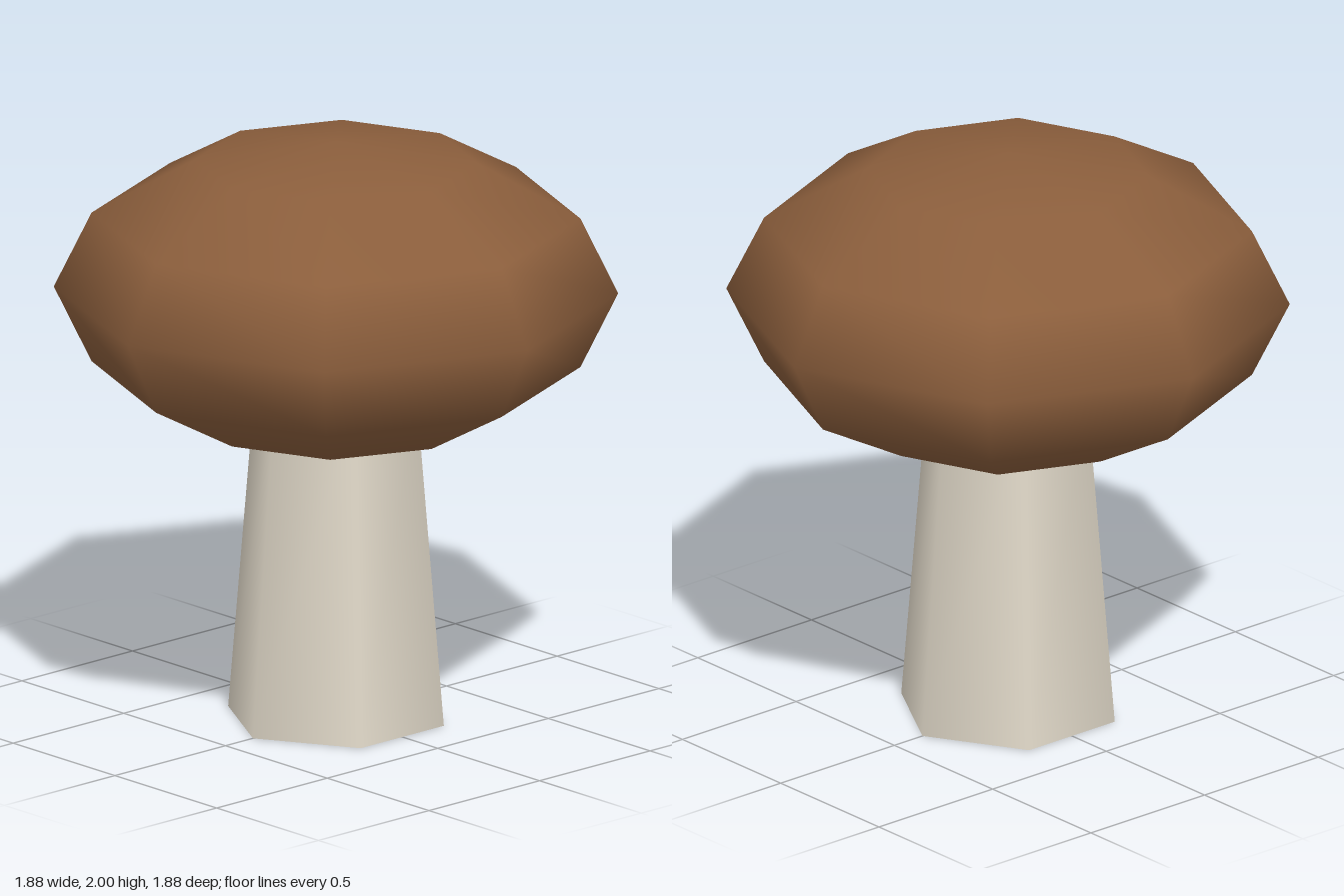
import * as THREE from 'three';

export function createModel() {
  const group = new THREE.Group();
  group.name = 'mushroom';

  const capBrown = new THREE.MeshStandardMaterial({ color: 0x8b5e3c });
  capBrown.name = 'cap brown';
  const stemCream = new THREE.MeshStandardMaterial({ color: 0xe0d8c8 });
  stemCream.name = 'stem cream';

  // Tapered six-sided stem, its top hidden inside the cap
  const stemHeight = 1.13;
  const stem = new THREE.Mesh(new THREE.CylinderGeometry(0.282, 0.376, stemHeight, 6), stemCream);
  stem.name = 'stem';
  stem.position.y = stemHeight / 2;

  // Flattened low-poly sphere with smooth shading
  const cap = new THREE.Mesh(new THREE.SphereGeometry(0.94, 8, 6), capBrown);
  cap.name = 'cap';
  cap.scale.y = 0.55;
  cap.position.y = 2 - 0.94 * 0.55;

  group.add(stem, cap);
  return group;
}
